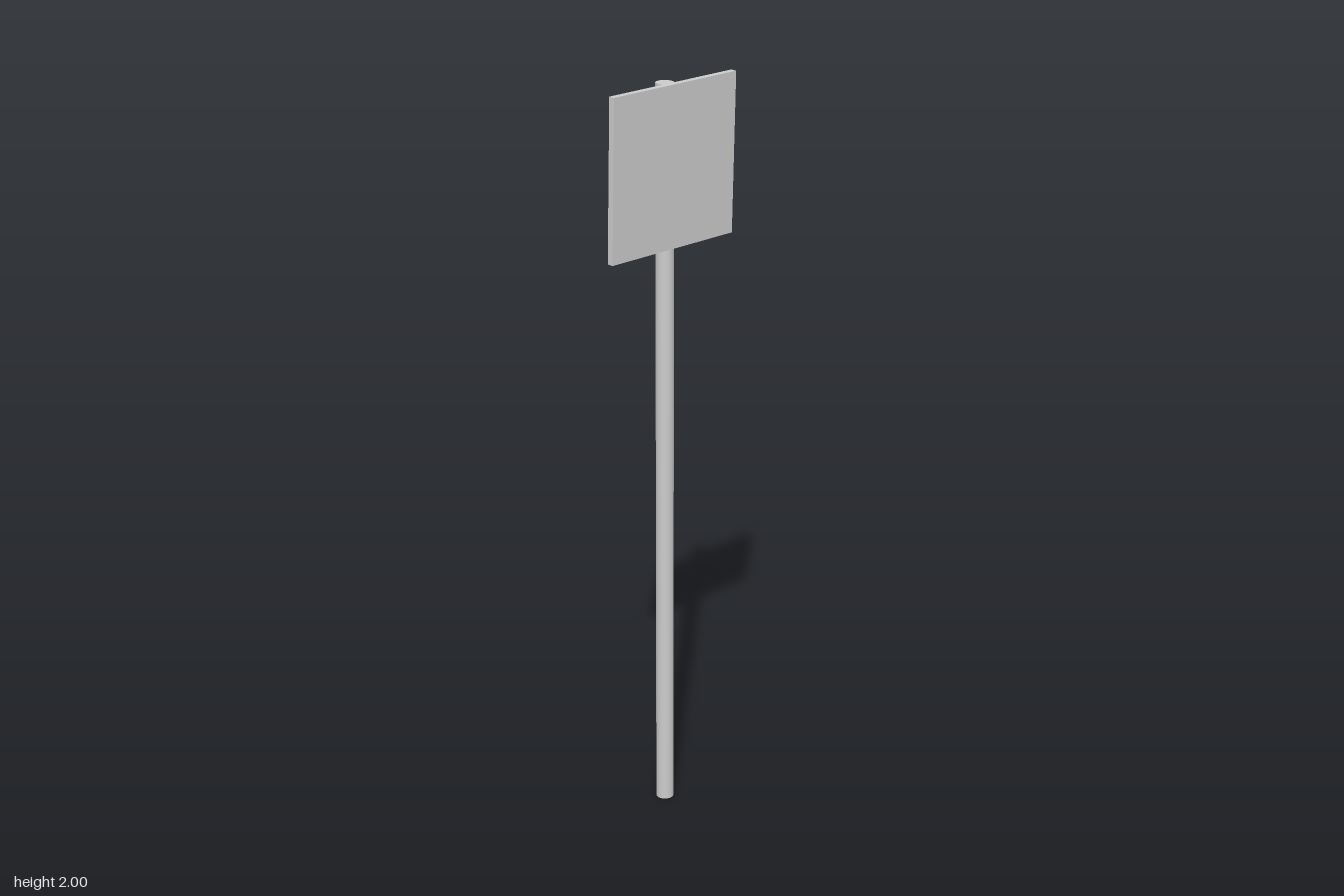
import * as THREE from 'three';

export function createModel() {
  const group = new THREE.Group();
  const material = new THREE.MeshStandardMaterial({ color: 0xcccccc });

  // Round post standing on the ground
  const height = 1.996;
  const post = new THREE.Mesh(new THREE.CylinderGeometry(0.0235, 0.0235, height, 32), material);
  post.name = 'post';
  post.position.set(-0.001, height / 2, -0.0105);

  // Thin square panel on the front of the post, mounted slightly askew
  const panel = new THREE.Mesh(new THREE.BoxGeometry(0.428, 0.423, 0.017), material);
  panel.name = 'signPanel';
  panel.position.set(0, 1.786, 0.0165);
  panel.rotation.set(0.012, 0.009, -0.012);

  group.add(post, panel);
  return group;
}
